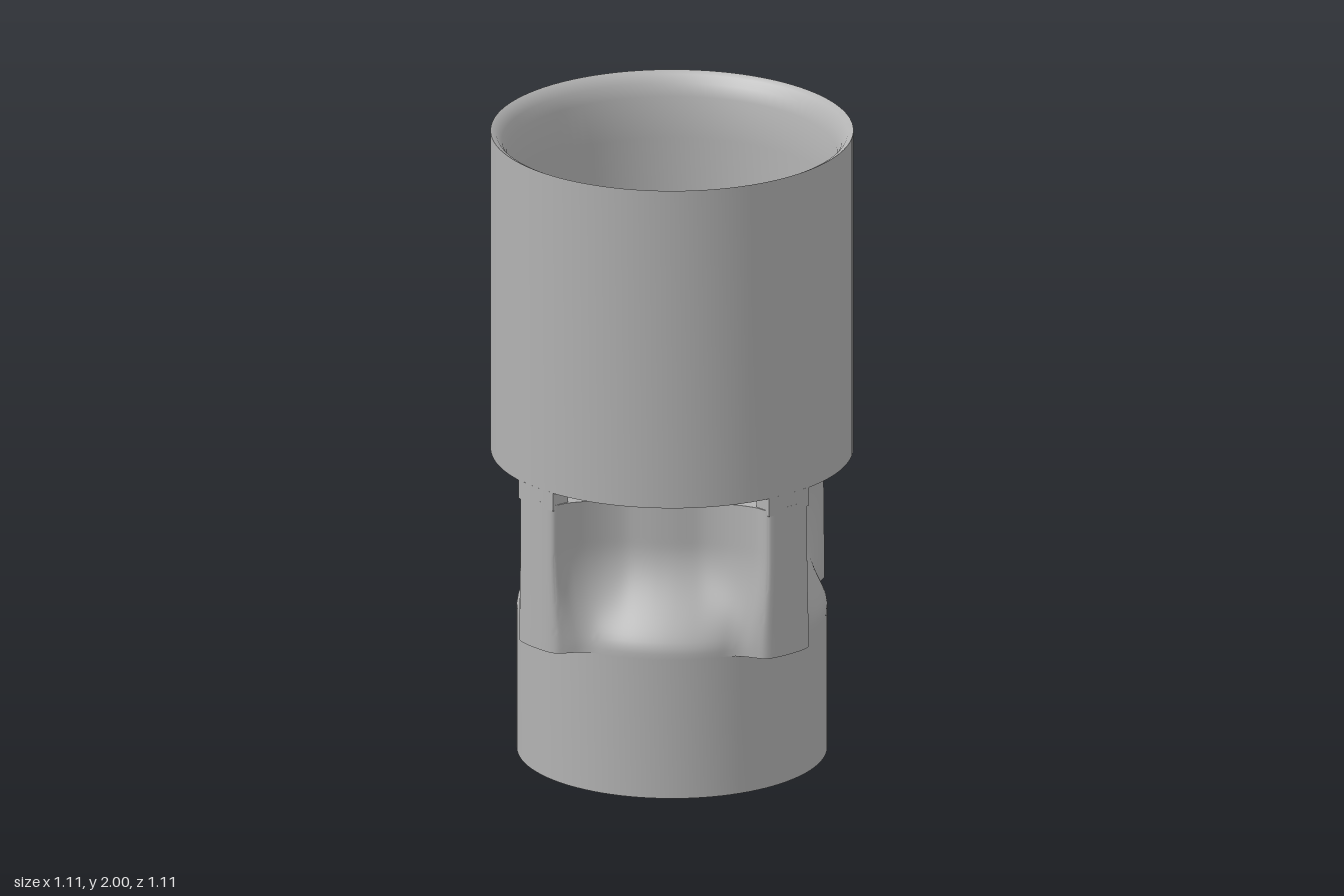
import * as THREE from 'three';
import { toCreasedNormals } from 'three/addons/utils/BufferGeometryUtils.js';

const grey = new THREE.MeshStandardMaterial({ color: 0xb2b2b2 });
grey.name = 'plainGrey';

const RAD = Math.PI / 180;
const TWIST = 3.5 * RAD; // the four posts sit slightly off the axes

function add(group, name, geometry) {
  const mesh = new THREE.Mesh(toCreasedNormals(geometry, 0.6), grey);
  mesh.name = name;
  group.add(mesh);
  return mesh;
}

const lathe = (pts) =>
  new THREE.LatheGeometry(pts.map(([r, y]) => new THREE.Vector2(r, y)), 96);

// Half of one quarter of the cross-section: [degrees from post centre, radius]
const spline = (pts) =>
  new THREE.SplineCurve(pts.map(([a, r]) => new THREE.Vector2(a, r))).getPoints(30);
const upper = spline([[0, 0.555], [4, 0.555], [7.8, 0.552], [8.8, 0.53], [9.2, 0.49],
  [12, 0.435], [17, 0.385], [24, 0.35], [32, 0.337], [45, 0.333]]);
const lower = spline([[0, 0.555], [5, 0.555], [9, 0.548], [11.5, 0.525], [15, 0.492],
  [19, 0.477], [24, 0.475], [30, 0.475], [37, 0.475], [45, 0.475]]);

// Full ring of [angle, radius] at blend s (0 = round base, 1 = scooped star)
function section(s) {
  const half = upper.map((p, i) => lower[i].clone().lerp(p, s));
  const ring = [];
  for (let q = 0; q < 4; q++) {
    const centre = q * 90;
    for (let i = half.length - 1; i > 0; i--) ring.push([centre - half[i].x, half[i].y]);
    for (let i = 0; i < half.length - 1; i++) ring.push([centre + half[i].x, half[i].y]);
  }
  return ring;
}

// Scooped core with posts: underside, flaring sides and funnel top
function coreGeometry() {
  const rows = [];
  const base = section(0);
  rows.push(base.map(([a]) => [a, 0.46, 0.45]));
  const steps = 28;
  for (let i = 0; i <= steps; i++) {
    const t = i / steps;
    const y = 0.45 + 0.455 * t;
    const u = Math.pow(THREE.MathUtils.clamp((y - 0.47) / 0.3, 0, 1), 0.75);
    const s = u * u * (3 - 2 * u);
    rows.push(section(s).map(([a, r]) => {
      const rise = 0.1 * (r - 0.305) * t; // top edge climbs outward
      return [a, r, y + rise];
    }));
  }
  rows.push(section(1).map(([a]) => [a, 0.305, 0.905]));

  const n = base.length;
  const pos = [];
  const index = [];
  rows.forEach((row) => row.forEach(([a, r, y]) => {
    const th = a * RAD + TWIST;
    pos.push(r * Math.sin(th), y, r * Math.cos(th));
  }));
  for (let i = 0; i < rows.length - 1; i++) {
    for (let j = 0; j < n; j++) {
      const k = (j + 1) % n;
      const a = i * n + j, b = i * n + k, c = a + n, d = b + n;
      index.push(a, b, d, a, d, c);
    }
  }
  const g = new THREE.BufferGeometry();
  g.setAttribute('position', new THREE.Float32BufferAttribute(pos, 3));
  g.setIndex(index);
  g.computeVertexNormals();
  return g;
}

// Curved block joining a post to the sleeve
function postTopGeometry() {
  const mid = -Math.PI / 2, h = 8.4 * RAD;
  const shape = new THREE.Shape();
  shape.absarc(0, 0, 0.555, mid - h, mid + h, false);
  shape.absarc(0, 0, 0.485, mid + h, mid - h, true);
  const g = new THREE.ExtrudeGeometry(shape, { depth: 0.06, bevelEnabled: false, curveSegments: 8 });
  return g.rotateX(-Math.PI / 2).translate(0, 0.912, 0);
}

export function createModel() {
  const model = new THREE.Group();
  model.name = 'pipeCoupling';

  // Upper sleeve with rounded inner lip
  add(model, 'upperSleeve', lathe([[0.495, 0.97], [0.555, 0.97], [0.555, 2], [0.537, 1.991],
    [0.52, 1.968], [0.505, 1.93], [0.495, 1.8], [0.495, 0.97]]));

  // Lower socket, inner ledge and bore
  add(model, 'lowerSocket', lathe([[0.305, 0.905], [0.305, 0.37], [0.445, 0.37],
    [0.445, 0], [0.475, 0], [0.475, 0.45]]));

  add(model, 'scoopedCore', coreGeometry());

  for (let i = 0; i < 4; i++) {
    add(model, 'postTop', postTopGeometry()).rotation.y = TWIST + i * Math.PI / 2;
  }
  return model;
}
